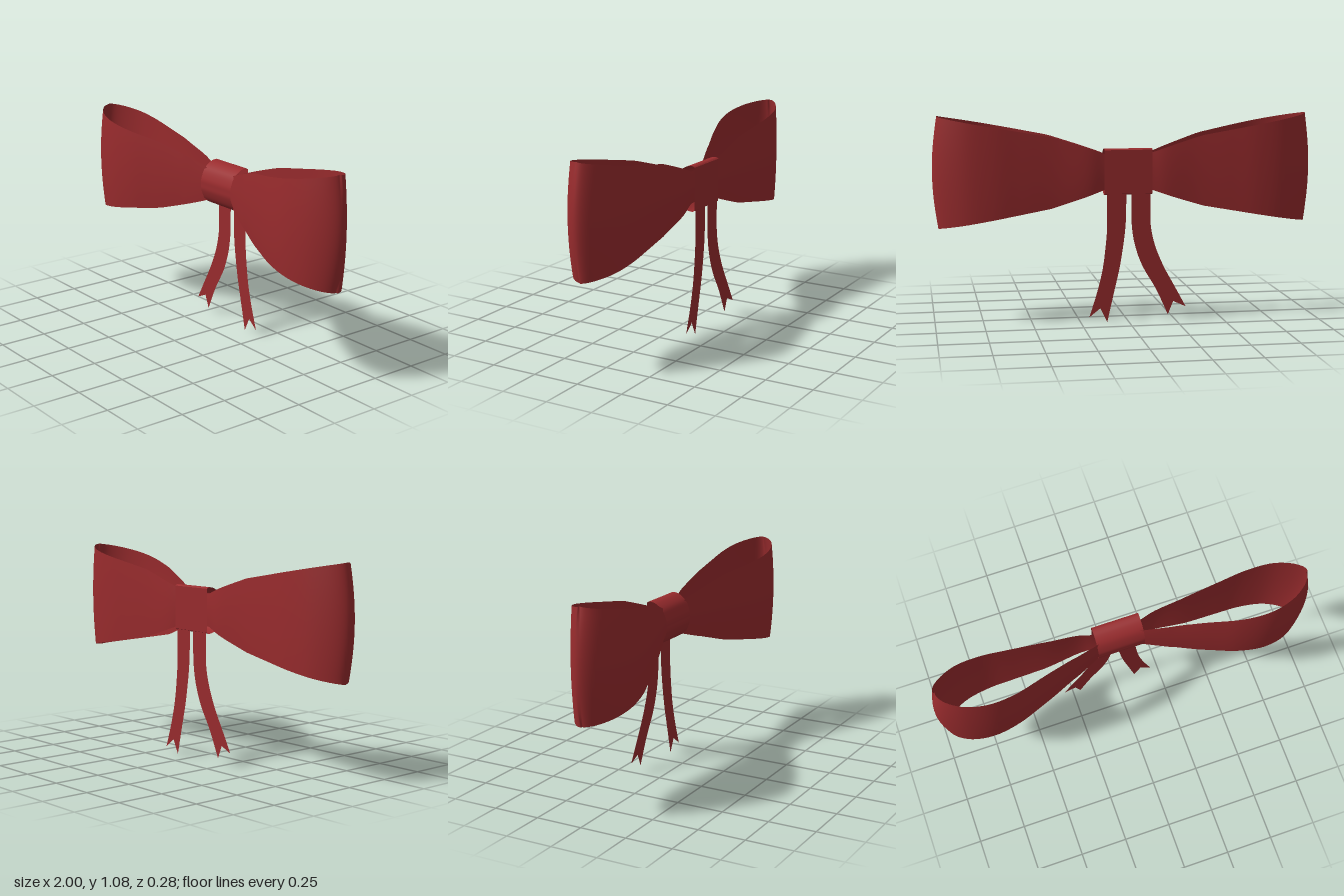
import * as THREE from 'three';

const CENTRE_Y = 0.785;
const material = new THREE.MeshStandardMaterial({ color: 0x982b2d, side: THREE.DoubleSide });
const v2 = ([x, y]) => new THREE.Vector2(x, y);

function mesh(name, geometry) {
  const m = new THREE.Mesh(geometry, material);
  m.name = name;
  return m;
}

// Smooth surface from a grid: point(i, j) -> [x, y, z]
function gridSurface(rows, cols, point) {
  const positions = [], index = [];
  for (let i = 0; i <= rows; i++) {
    for (let j = 0; j <= cols; j++) {
      positions.push(...point(i, j));
      if (i < rows && j < cols) {
        const a = i * (cols + 1) + j, b = a + cols + 1;
        index.push(a, b, a + 1, b, b + 1, a + 1);
      }
    }
  }
  const g = new THREE.BufferGeometry();
  g.setAttribute('position', new THREE.Float32BufferAttribute(positions, 3));
  g.setIndex(index);
  g.computeVertexNormals();
  return g;
}

// Ribbon half height, flaring from the knot to the tip
function halfHeight(x) {
  if (x > 0.4) return 0.185 + (x - 0.4) * 0.176;
  const t = Math.max(0, (x - 0.1) / 0.3);
  return 0.085 + 0.1 * Math.pow(t, 0.9);
}

// Loop path seen from above (x, z), from the back of the knot round to its front
const loopPath = new THREE.SplineCurve([
  [0.03, -0.1], [0.12, -0.11], [0.21, -0.123], [0.37, -0.122], [0.55, -0.13], [0.7, -0.135],
  [0.84, -0.118], [0.95, -0.068], [1, -0.008], [0.965, 0.057], [0.87, 0.112], [0.74, 0.135],
  [0.6, 0.118], [0.45, 0.07], [0.25, 0], [0.12, -0.045], [0.03, -0.08],
].map(v2));

function loop(name, side) {
  const rows = 96, cols = 16;
  return mesh(name, gridSurface(rows, cols, (i, j) => {
    const p = loopPath.getPoint(i / rows);
    const tangent = loopPath.getTangent(i / rows);
    const v = (j / cols) * 2 - 1;
    // the ribbon bows inward at its edges, most of all at the tip
    const bow = v * v * (0.004 + 0.026 * Math.max(0, tangent.y) ** 2 + (p.y > 0 ? 0.008 * p.x : 0));
    const x = p.x - tangent.y * bow, z = p.y + tangent.x * bow;
    return [side * x, CENTRE_Y + v * halfHeight(p.x), z];
  }));
}

// Knot band: flat back, rounded front, open at both ends
function knot() {
  const front = new THREE.SplineCurve([
    [-0.14, 0.9], [-0.125, 0.907], [-0.09, 0.9], [-0.05, 0.87], [-0.027, 0.82], [-0.024, CENTRE_Y],
    [-0.027, 0.75], [-0.05, 0.7], [-0.09, 0.674], [-0.125, 0.667], [-0.14, 0.674],
  ].map(v2));
  const band = new THREE.Group();
  band.name = 'knot';
  band.add(mesh('knotFront', gridSurface(48, 1, (i, j) => {
    const p = front.getPoint(i / 48);
    return [j ? 0.125 : -0.125, p.y, p.x];
  })));
  const back = new THREE.PlaneGeometry(0.25, 0.226);
  back.rotateY(Math.PI).translate(0, 0.787, -0.14);
  band.add(mesh('knotBack', back));
  return band;
}

// Flat tail between two curved edges, with a V notch at the end
function tail(name, left, right, notch) {
  const shape = new THREE.Shape([
    ...new THREE.SplineCurve(left.map(v2)).getPoints(24),
    v2(notch),
    ...new THREE.SplineCurve(right.map(v2)).getPoints(24).reverse(),
  ]);
  const g = new THREE.ShapeGeometry(shape);
  g.translate(0, 0, -0.138);
  return mesh(name, g);
}

export function createModel() {
  const bow = new THREE.Group();
  bow.name = 'bow';
  bow.add(loop('leftLoop', 1), loop('rightLoop', -1), knot());
  bow.add(tail('rightTail',
    [[-0.115, 0.72], [-0.115, 0.6], [-0.118, 0.5], [-0.14, 0.4], [-0.185, 0.29], [-0.245, 0.18], [-0.305, 0.07]],
    [[-0.015, 0.72], [-0.015, 0.6], [-0.018, 0.5], [-0.035, 0.4], [-0.075, 0.29], [-0.145, 0.17], [-0.21, 0.03]],
    [-0.238, 0.1]));
  bow.add(tail('leftTail',
    [[0.012, 0.72], [0.012, 0.6], [0.016, 0.5], [0.028, 0.4], [0.048, 0.28], [0.078, 0.15], [0.112, 0]],
    [[0.112, 0.72], [0.112, 0.6], [0.112, 0.5], [0.12, 0.4], [0.136, 0.28], [0.165, 0.16], [0.207, 0.028]],
    [0.148, 0.075]));
  return bow;
}
